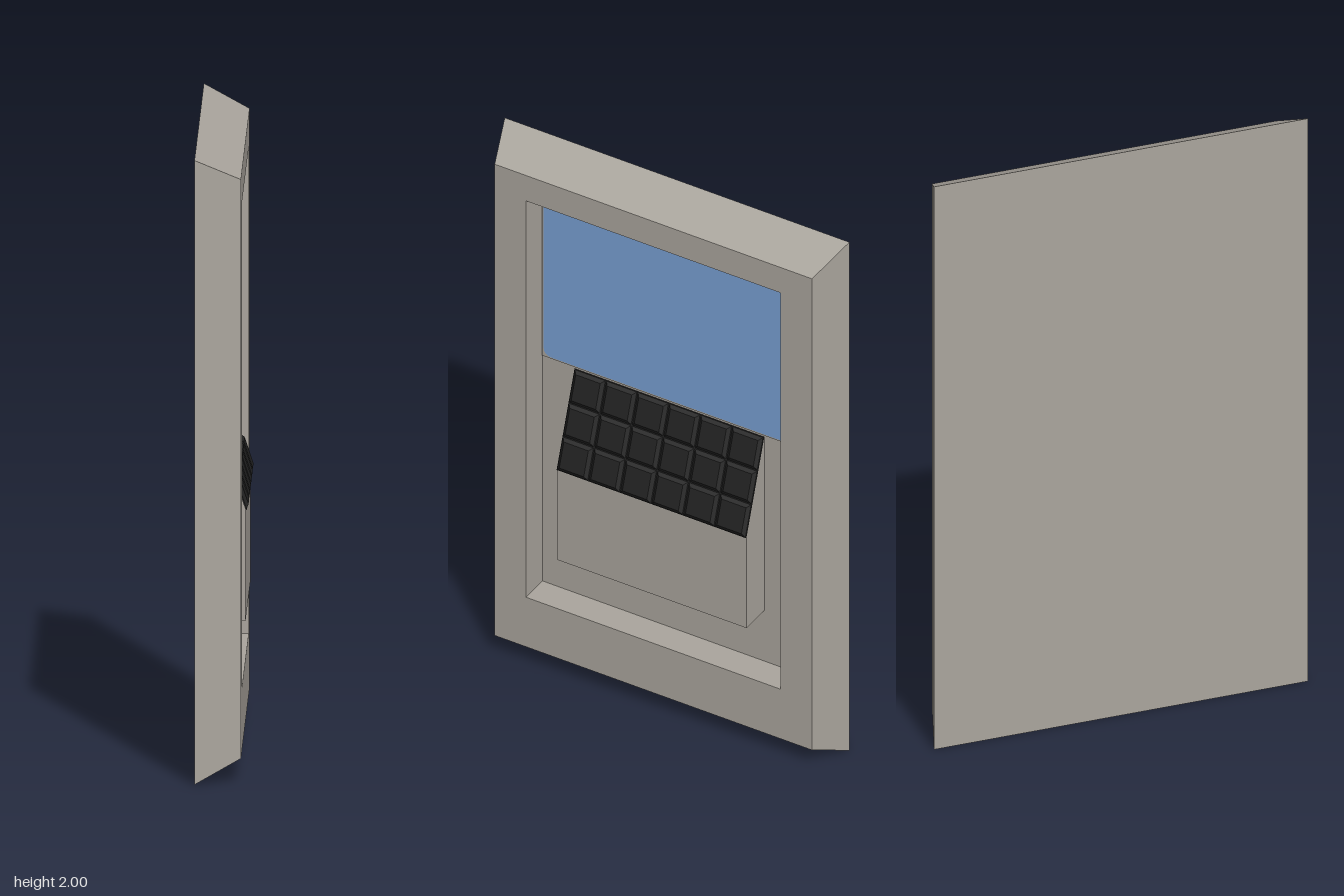
import * as THREE from 'three';

const paint = (name, color) => {
  const m = new THREE.MeshStandardMaterial({ color });
  m.name = name;
  return m;
};

// Rectangular ring at depth x, counter-clockwise as seen from +x
const ring = (x, y0, y1, z) => [[x, y0, z], [x, y0, -z], [x, y1, -z], [x, y1, z]];

// Flat-shaded skin over consecutive rings, capped at both ends
function skinRings(rings) {
  const pos = [];
  const quad = (a, b, c, d) => pos.push(...a, ...b, ...c, ...a, ...c, ...d);
  for (let i = 0; i < rings.length - 1; i++) {
    for (let j = 0; j < 4; j++) {
      const k = (j + 1) % 4;
      quad(rings[i][j], rings[i][k], rings[i + 1][k], rings[i + 1][j]);
    }
  }
  quad(...[...rings[0]].reverse());
  quad(...rings[rings.length - 1]);
  const g = new THREE.BufferGeometry();
  g.setAttribute('position', new THREE.Float32BufferAttribute(pos, 3));
  g.computeVertexNormals();
  return g;
}

// Flat rounded rectangle facing +x
function roundedPlate(w, h, r) {
  const x = w / 2, y = h / 2;
  const s = new THREE.Shape();
  s.moveTo(-x + r, -y);
  s.lineTo(x - r, -y).quadraticCurveTo(x, -y, x, -y + r);
  s.lineTo(x, y - r).quadraticCurveTo(x, y, x - r, y);
  s.lineTo(-x + r, y).quadraticCurveTo(-x, y, -x, y - r);
  s.lineTo(-x, -y + r).quadraticCurveTo(-x, -y, -x + r, -y);
  return new THREE.ShapeGeometry(s, 6).rotateY(Math.PI / 2);
}

export function createModel() {
  const model = new THREE.Group();
  model.name = 'wallTerminal';
  const casing = paint('warmGrey', 0xaaa59d);
  const glass = paint('screenBlue', 0x789fd2);
  const black = paint('keyBlack', 0x212121);

  const add = (name, geometry, material, parent = model) => {
    const mesh = new THREE.Mesh(geometry, material);
    mesh.name = name;
    parent.add(mesh);
    return mesh;
  };

  // Bevelled wall housing with a recessed front
  const floorX = -0.035;
  add('housing', skinRings([
    ring(-0.08, 0, 2, 0.632),
    ring(0.065, 0.075, 1.93, 0.582),
    ring(0.065, 0.27, 1.83, 0.467),
    ring(floorX, 0.27, 1.83, 0.467),
  ]), casing);

  // Screen on a thin backing plate
  add('screenBacking', new THREE.BoxGeometry(0.01, 0.662, 0.926), casing)
    .position.set(floorX + 0.005, 1.497, 0);
  add('screen', roundedPlate(0.905, 0.648, 0.03), glass)
    .position.set(floorX + 0.013, 1.497, 0.002);

  // Wedge-topped console below the screen
  const low = new THREE.Vector2(0.074, 0.825);
  const high = new THREE.Vector2(floorX, 1.152);
  const profile = new THREE.Shape([
    new THREE.Vector2(floorX, 0.47), new THREE.Vector2(low.x, 0.47), low, high,
  ]);
  const width = 0.694;
  add('console', new THREE.ExtrudeGeometry(profile, { depth: width, bevelEnabled: false })
    .translate(0, 0, -width / 2), casing);

  // Sloped keyboard: a thin base carrying a grid of tapered keys
  const slope = high.clone().sub(low);
  const length = slope.length();
  const keyboard = new THREE.Group();
  keyboard.name = 'keyboard';
  keyboard.position.set((low.x + high.x) / 2, (low.y + high.y) / 2, 0);
  keyboard.rotation.z = Math.atan2(-slope.x, slope.y);
  model.add(keyboard);
  add('keyboardBase', new THREE.BoxGeometry(0.004, length, width), black, keyboard)
    .position.x = 0.002;

  const rows = 3, columns = 6;
  const keyH = length / rows, keyW = width / columns;
  const bevel = 0.011;
  const key = new THREE.BoxGeometry(0.01, keyH - 0.004, keyW - 0.004).toNonIndexed();
  const p = key.attributes.position;
  for (let i = 0; i < p.count; i++) {
    if (p.getX(i) > 0) {
      p.setY(i, p.getY(i) - Math.sign(p.getY(i)) * bevel);
      p.setZ(i, p.getZ(i) - Math.sign(p.getZ(i)) * bevel);
    }
  }
  key.computeVertexNormals();
  for (let r = 0; r < rows; r++) {
    for (let c = 0; c < columns; c++) {
      add('key', key, black, keyboard)
        .position.set(0.009, (r - (rows - 1) / 2) * keyH, (c - (columns - 1) / 2) * keyW);
    }
  }
  return model;
}
